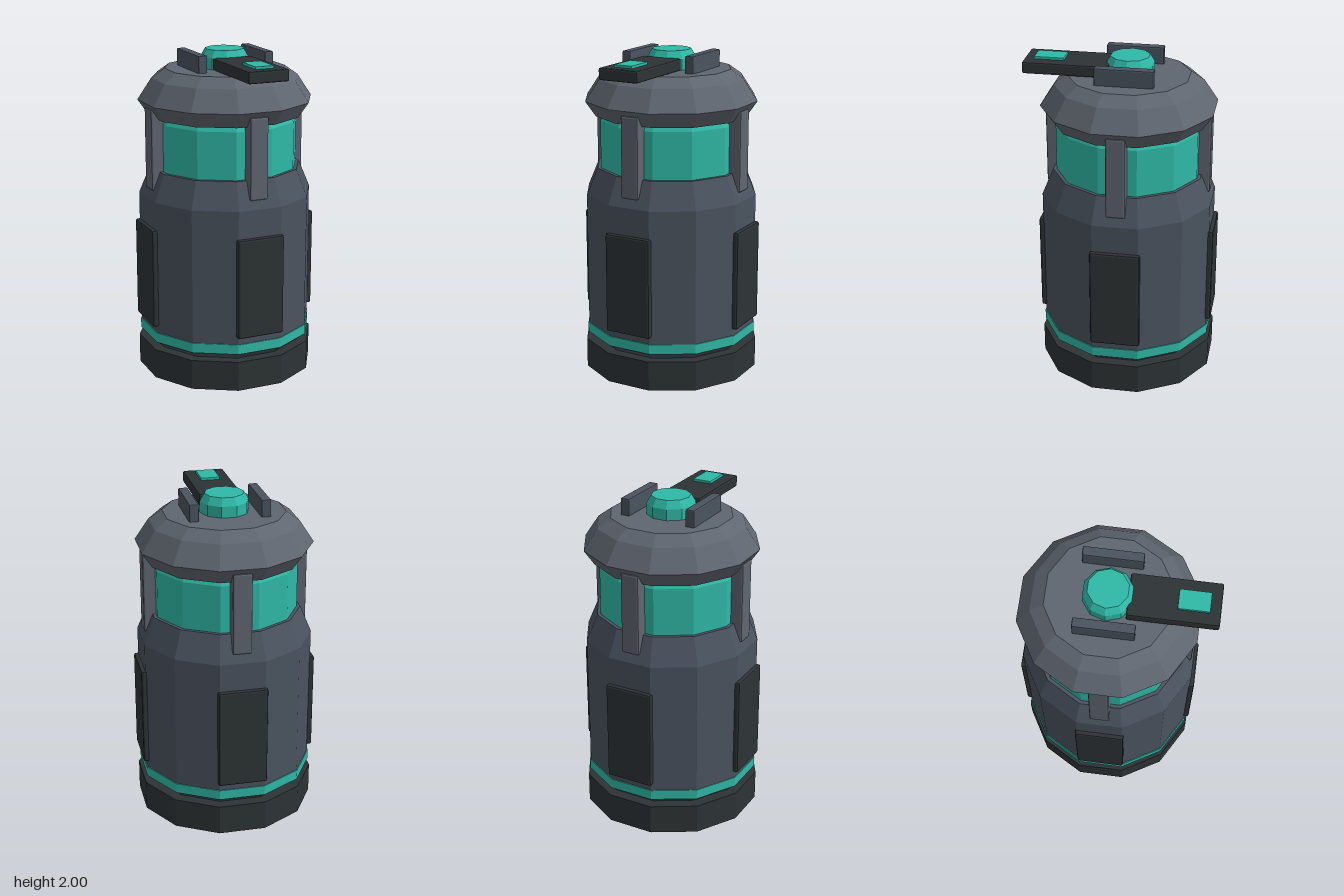
import * as THREE from 'three';
import { RoundedBoxGeometry } from 'three/addons/geometries/RoundedBoxGeometry.js';

const paint = (color) => new THREE.MeshStandardMaterial({ color, flatShading: true });
const STEEL = paint(0x4a535f);
const LIGHT = paint(0x5f6670);
const DARK = paint(0x2d3335);
const TEAL = paint(0x2fb8a6);

// Faceted turned part; profile is [distance to flat, y] from bottom to top
function turned(name, profile, material, sides = 12) {
  const k = 1 / Math.cos(Math.PI / sides);
  const points = profile.map(([r, y]) => new THREE.Vector2(r * k, y));
  const mesh = new THREE.Mesh(new THREE.LatheGeometry(points, sides, Math.PI / sides), material);
  mesh.name = name;
  return mesh;
}

// Chamfered box given by its minimum and maximum corners
function block(name, min, max, bevel, material) {
  const s = max.map((v, i) => v - min[i]);
  const mesh = new THREE.Mesh(new RoundedBoxGeometry(s[0], s[1], s[2], 1, bevel), material);
  mesh.position.set(...max.map((v, i) => (v + min[i]) / 2));
  mesh.name = name;
  return mesh;
}

export function createModel() {
  const model = new THREE.Group();
  model.name = 'canister';
  const body = new THREE.Group();
  body.name = 'body';
  body.position.z = -0.04;
  model.add(body);

  // Stacked shells
  body.add(
    turned('base', [[0, 0], [0.38, 0], [0.515, 0.06], [0.515, 0.24], [0, 0.24]], DARK),
    turned('casing', [[0, 0.235], [0.445, 0.235], [0.5, 0.285], [0.5, 1.15], [0.435, 1.31], [0, 1.31]], STEEL),
    turned('glowBand', [[0.495, 0.285], [0.505, 0.285], [0.505, 0.345], [0.495, 0.345]], TEAL),
    turned('window', [[0, 1.29], [0.415, 1.29], [0.415, 1.59], [0.4, 1.62], [0, 1.62]], TEAL),
    turned('dome', [[0, 1.62], [0.44, 1.62], [0.5, 1.71], [0.42, 1.835], [0.345, 1.89], [0, 1.89]], LIGHT)
  );

  // Grip panels and window posts on the four sides
  for (let i = 0; i < 4; i++) {
    const side = new THREE.Group();
    side.name = 'side' + (i + 1);
    side.rotation.y = (i * Math.PI) / 2;
    side.add(
      block('gripPanel', [-0.145, 0.385, 0.465], [0.145, 0.985, 0.525], 0.012, DARK),
      block('windowPost', [-0.056, 1.2, 0.385], [0.056, 1.68, 0.487], 0.01, LIGHT)
    );
    body.add(side);
  }

  // Push button
  const button = turned('button', [[0, 1.87], [0.135, 1.87], [0.135, 1.955], [0.109, 2], [0, 2]], TEAL, 10);
  button.position.z = -0.045;
  model.add(button);

  // Guard rails either side of the button
  for (const s of [-1, 1]) {
    model.add(block(s > 0 ? 'leftRail' : 'rightRail',
      [s * 0.207 - 0.028, 1.87, -0.212], [s * 0.207 + 0.028, 1.99, 0.125], 0.008, STEEL));
  }

  // Lever with its pad
  model.add(
    block('lever', [-0.124, 1.893, 0.063], [0.124, 1.962, 0.562], 0.01, DARK),
    block('leverPad', [-0.057, 1.945, 0.33], [0.057, 1.977, 0.504], 0.003, TEAL)
  );
  return model;
}
